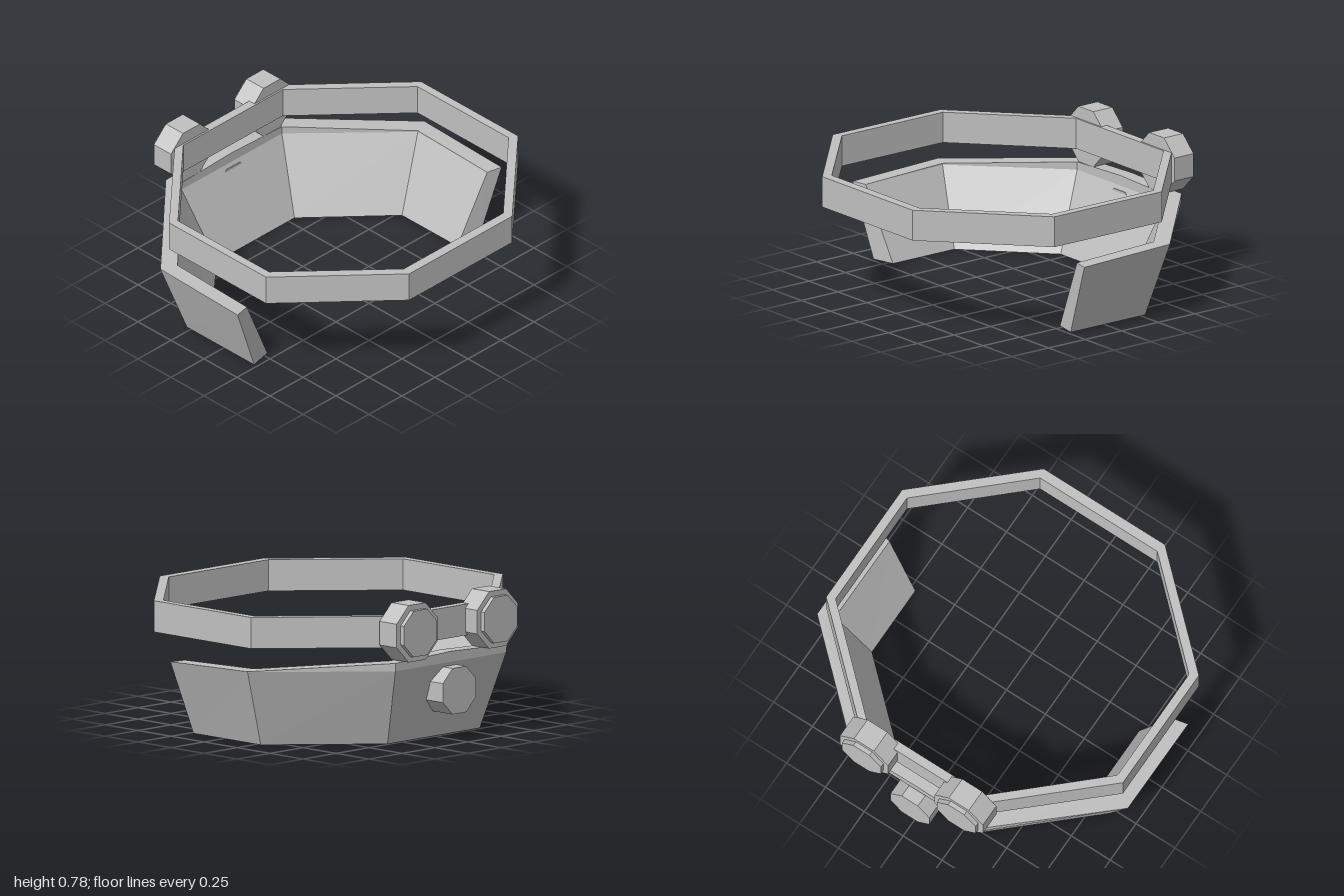
import * as THREE from 'three';

export function createModel() {
  const group = new THREE.Group();
  const metal = new THREE.MeshStandardMaterial({ color: 0xc0c0c0 });
  metal.name = 'plain grey';
  metal.flatShading = true;

  const add = (name, geometry, parent = group) => {
    const mesh = new THREE.Mesh(geometry, metal);
    mesh.name = name;
    parent.add(mesh);
    return mesh;
  };

  // Thin octagonal band; outline corners given as x and front/back z
  const octagon = (xIn, xOut, zFront, zSideFront, zSideBack, zBack) => [
    [xIn, zFront], [xOut, zSideFront], [xOut, zSideBack], [xIn, zBack],
    [-xIn, zBack], [-xOut, zSideBack], [-xOut, zSideFront], [-xIn, zFront],
  ].map(([x, z]) => new THREE.Vector2(x, -z));
  const outline = new THREE.Shape(octagon(0.39, 0.955, 0.945, 0.425, -0.31, -0.83));
  outline.holes.push(new THREE.Path(octagon(0.377, 0.907, 0.89, 0.40, -0.29, -0.78)));
  const band = new THREE.ExtrudeGeometry(outline, { depth: 0.17, bevelEnabled: false });
  band.rotateX(-Math.PI / 2).translate(0, 0.54, 0);
  add('upperBand', band);

  // Flared collar: each section runs outer bottom, outer top, outer lip,
  // inner lip, inner top, inner bottom
  const half = [
    [[0.85, 0, 0.23], [1, 0.405, 0.255], [1, 0.405, 0.255],
      [0.91, 0.405, 0.235], [0.91, 0.405, 0.235], [0.72, 0, 0.2]],
    [[0.85, 0, -0.28], [1, 0.42, -0.33], [1, 0.423, -0.33],
      [0.91, 0.423, -0.29], [0.91, 0.415, -0.29], [0.72, 0, -0.22]],
    [[0.35, 0, -0.74], [0.42, 0.42, -0.87], [0.42, 0.463, -0.87],
      [0.38, 0.463, -0.79], [0.38, 0.42, -0.79], [0.295, 0, -0.61]],
  ];
  const middle = half[2].map(([, y, z], i) => [0, i === 2 || i === 3 ? 0.477 : y, z]);
  const mirrored = half.map((s) => s.map(([x, y, z]) => [-x, y, z])).reverse();
  const sections = [...half, middle, ...mirrored];
  const points = [];
  const tri = (a, b, c) => points.push(...a, ...b, ...c);
  for (let i = 0; i < sections.length - 1; i++) {
    const s = sections[i], t = sections[i + 1];
    for (let k = 0; k < 6; k++) {
      const n = (k + 1) % 6;
      tri(s[k], t[k], t[n]);
      tri(s[k], t[n], s[n]);
    }
  }
  const first = sections[0], last = sections[sections.length - 1];
  for (let k = 1; k < 5; k++) {
    tri(first[0], first[k], first[k + 1]);
    tri(last[0], last[k + 1], last[k]);
  }
  const collar = new THREE.BufferGeometry();
  collar.setAttribute('position', new THREE.Float32BufferAttribute(points, 3));
  collar.computeVertexNormals();
  add('flaredCollar', collar);

  // Octagonal knobs on the back, sized across their flats
  const knob = (flat, zFront, zBack) => {
    const r = flat / Math.cos(Math.PI / 8);
    const g = new THREE.CylinderGeometry(r, r, zFront - zBack, 8);
    return g.rotateY(Math.PI / 8).rotateX(Math.PI / 2).translate(0, 0, (zFront + zBack) / 2);
  };
  for (const side of [1, -1]) {
    const bolt = new THREE.Group();
    bolt.name = side > 0 ? 'leftBolt' : 'rightBolt';
    bolt.position.set(side * 0.305, 0.623, 0);
    add('boltHead', knob(0.155, -0.79, -0.92), bolt);
    add('boltCap', knob(0.125, -0.91, -0.945), bolt);
    group.add(bolt);
  }
  const lower = add('lowerBolt', knob(0.125, -0.775, -0.935));
  lower.position.y = 0.273;

  return group;
}
